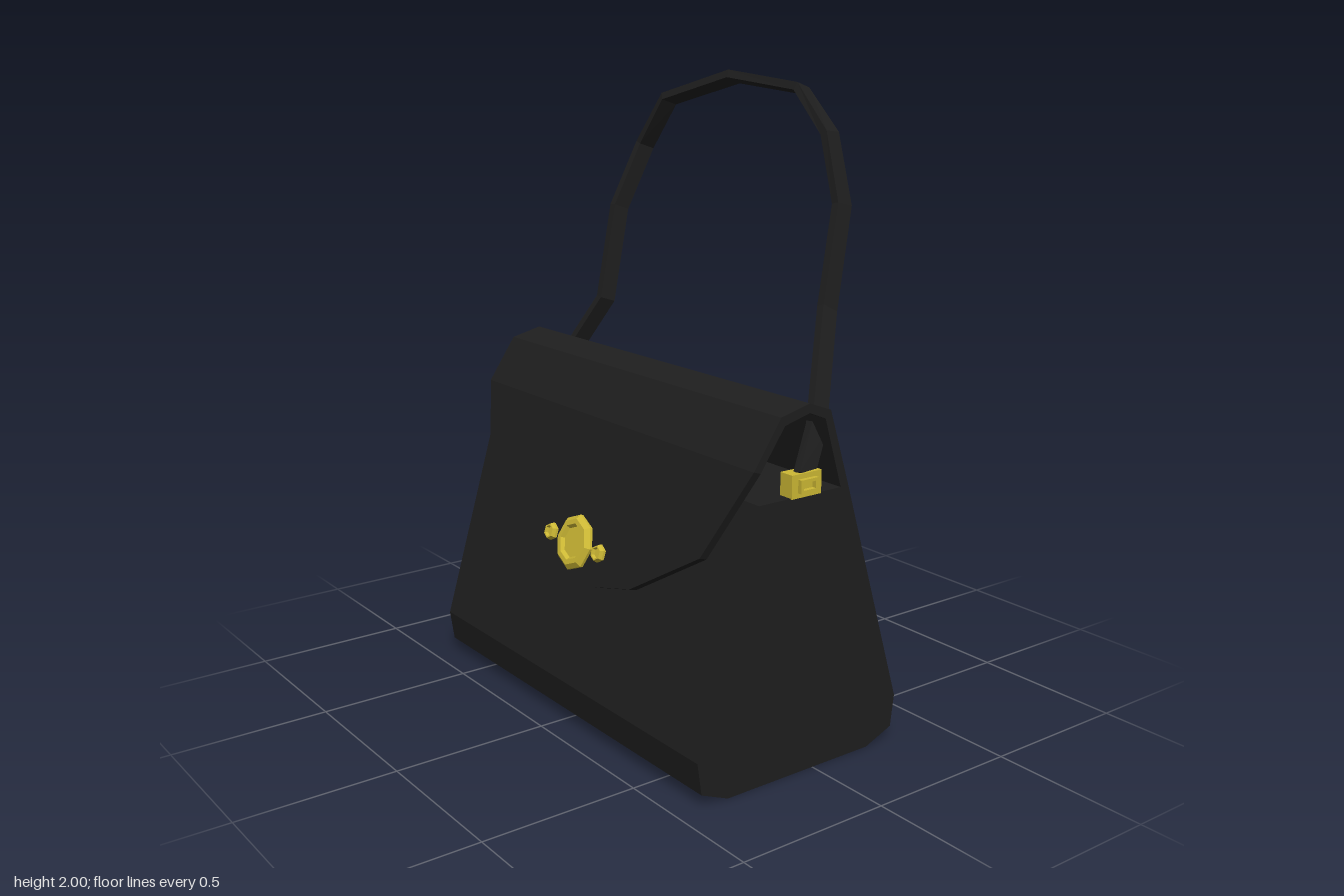
import * as THREE from 'three';

const leather = new THREE.MeshStandardMaterial({ color: 0x1e1e1e, flatShading: true, side: THREE.DoubleSide });
const gold = new THREE.MeshStandardMaterial({ color: 0xcdb935, flatShading: true });
const HALF = 0.71; // half length of the bag along z

function add(parent, name, geometry, material) {
  const mesh = new THREE.Mesh(geometry, material);
  mesh.name = name;
  parent.add(mesh);
  return mesh;
}

const polygon = (pts) => new THREE.Shape(pts.map(([x, y]) => new THREE.Vector2(x, y)));
const extrude = (shape, depth) => new THREE.ExtrudeGeometry(shape, { depth, bevelEnabled: false });

// Rectangular band swept along a polyline, kept facing a fixed width direction
function bandGeometry(path, widthDir, width, thickness) {
  const pos = [], index = [];
  path.forEach((p, i) => {
    const a = path[Math.max(i - 1, 0)], b = path[Math.min(i + 1, path.length - 1)];
    const t = b.clone().sub(a).normalize();
    const w = widthDir.clone().addScaledVector(t, -widthDir.dot(t)).normalize();
    const n = t.clone().cross(w);
    for (const [u, v] of [[-1, -1], [1, -1], [1, 1], [-1, 1]]) {
      const c = p.clone().addScaledVector(w, u * width / 2).addScaledVector(n, v * thickness / 2);
      pos.push(c.x, c.y, c.z);
    }
    if (i === 0) return;
    for (let k = 0; k < 4; k++) {
      const l = (k + 1) % 4, o = (i - 1) * 4;
      index.push(o + k, o + l, o + 4 + l, o + k, o + 4 + l, o + 4 + k);
    }
  });
  const e = pos.length / 3 - 4;
  index.push(0, 2, 1, 0, 3, 2, e, e + 1, e + 2, e, e + 2, e + 3);
  const g = new THREE.BufferGeometry();
  g.setAttribute('position', new THREE.Float32BufferAttribute(pos, 3));
  g.setIndex(index);
  g.computeVertexNormals();
  return g;
}

// Faceted round fitting with a raised rim, facing +z
function rosette(radius, height, sides) {
  const profile = [[1, 0], [1, 0.4], [0.84, 1], [0.66, 1], [0.56, 0.5], [0, 0.5]];
  return new THREE.LatheGeometry(profile.map(([r, h]) => new THREE.Vector2(r * radius, h * height)), sides)
    .rotateX(Math.PI / 2);
}

export function createModel() {
  const bag = new THREE.Group();
  bag.name = 'handbag';

  // Tapered body with chamfered bottom
  const body = polygon([[-0.32, 0], [0.22, 0], [0.32, 0.04], [0.333, 0.14], [0.115, 0.85],
    [-0.22, 0.85], [-0.43, 0.14], [-0.415, 0.04]]);
  add(bag, 'body', extrude(body, 2 * HALF).translate(0, 0, -HALF), leather);

  // Cover arching from the back panel over the top
  const cover = polygon([[0.115, 0.85], [0.04, 1.085], [-0.04, 1.115], [-0.145, 1.09], [-0.24, 0.95],
    [-0.216, 0.942], [-0.13, 1.064], [-0.04, 1.087], [0.02, 1.063], [0.085, 0.85]]);
  add(bag, 'topCover', extrude(cover, 2 * HALF).translate(0, 0, -HALF), leather);

  // Hanging flap: local x runs along the bag, y up the slope, z outward
  const flap = new THREE.Group();
  flap.name = 'flap';
  const up = new THREE.Vector3(0.15, 0.47, 0).normalize();
  const along = new THREE.Vector3(0, 0, 1);
  flap.quaternion.setFromRotationMatrix(new THREE.Matrix4().makeBasis(along, up, along.clone().cross(up)));
  flap.position.set(-0.24, 0.95, 0);
  bag.add(flap);
  const half = [[HALF, 0], [0.58, -0.28], [0.31, -0.45], [0.14, -0.493]];
  const outline = polygon([...half.map(([x, y]) => [-x, y]), ...half.slice().reverse()]);
  add(flap, 'flapPanel', extrude(outline, 0.026).translate(0, 0, -0.026), leather);

  // Clasp and its two studs
  add(flap, 'clasp', rosette(0.088, 0.022, 8), gold).position.set(0, -0.39, 0);
  for (const s of [-1, 1]) {
    add(flap, s < 0 ? 'rightStud' : 'leftStud', rosette(0.028, 0.02, 6), gold).position.set(s * 0.132, -0.39, 0);
  }

  // Strap fittings at both ends
  for (const s of [1, -1]) {
    const fitting = new THREE.Group();
    fitting.name = s > 0 ? 'frontFitting' : 'backFitting';
    fitting.position.set(-0.05, 0.883, s * 0.69);
    if (s < 0) fitting.rotation.y = Math.PI;
    bag.add(fitting);
    add(fitting, 'plate', new THREE.BoxGeometry(0.11, 0.07, 0.05), gold);
    const frame = polygon([[-0.032, -0.02], [0.032, -0.02], [0.032, 0.02], [-0.032, 0.02]]);
    frame.holes.push(polygon([[-0.022, -0.011], [-0.022, 0.011], [0.022, 0.011], [0.022, -0.011]]));
    add(fitting, 'frame', extrude(frame, 0.014).translate(0, 0, 0.025), gold);
  }

  // Leaning shoulder strap
  const path = [[-0.05, 0.9, 0.7], [0.05, 1.02, 0.64], [0.265, 1.31, 0.44], [0.375, 1.61, 0.375],
    [0.387, 1.82, 0.3], [0.388, 1.95, 0.165], [0.375, 1.98, -0.15], [0.342, 1.9, -0.46],
    [0.32, 1.74, -0.57], [0.22, 1.53, -0.585], [0.135, 1.22, -0.55], [0.05, 1.02, -0.65], [-0.05, 0.9, -0.7]]
    .map((p) => new THREE.Vector3(...p));
  add(bag, 'strap', bandGeometry(path, new THREE.Vector3(0.94, -0.34, 0), 0.06, 0.026), leather);

  return bag;
}
